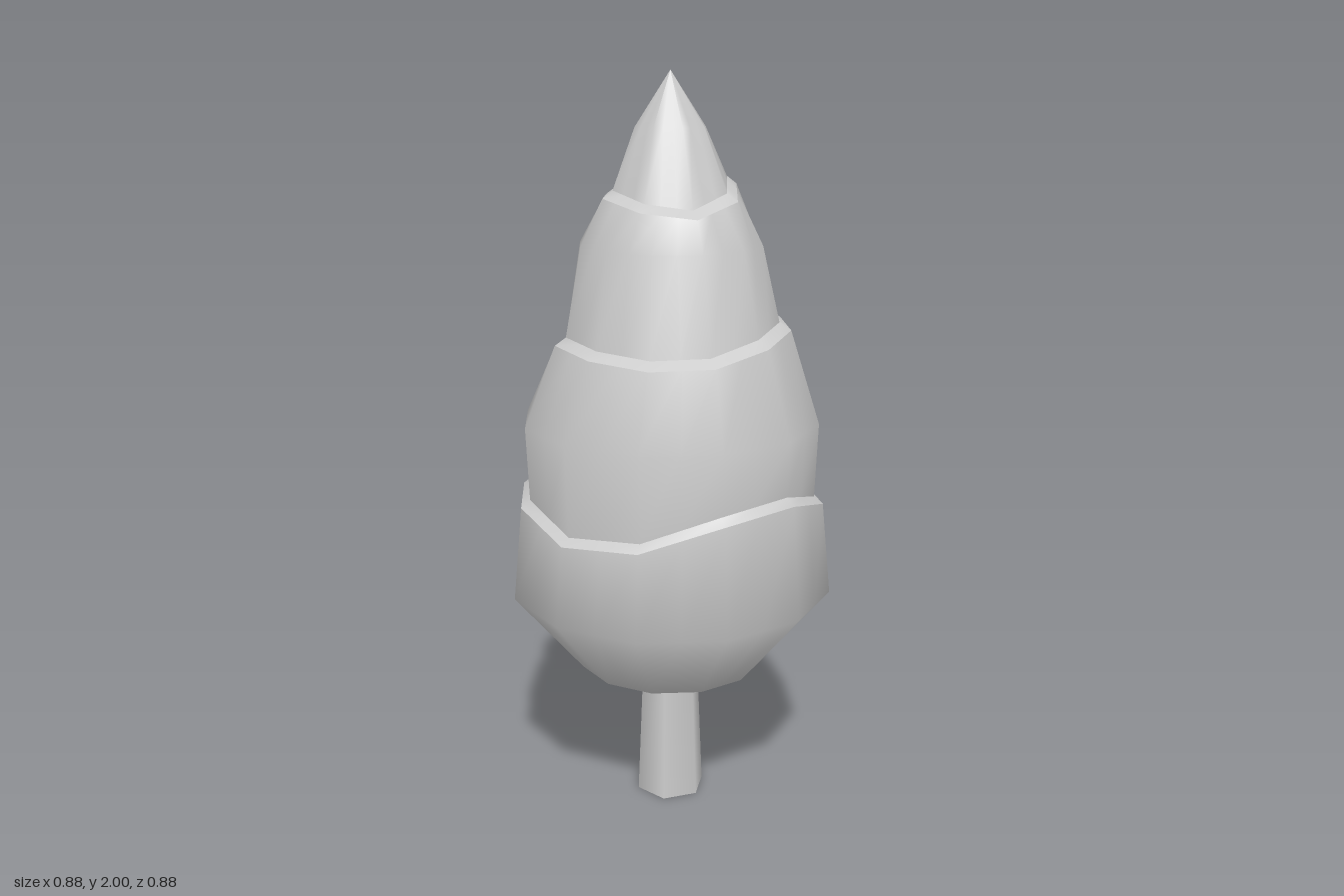
import * as THREE from 'three';

const material = new THREE.MeshStandardMaterial({ color: 0xcccccc });
const STEPS = 24; // divides evenly into 12- and 8-sided rings

// Polygonal ring: y is one height, or one per corner, starting at +z and turning toward +x.
function ring(sides, rx, rz, y) {
  const corner = (i) => {
    const k = i % sides, a = (k / sides) * Math.PI * 2;
    return new THREE.Vector3(Math.sin(a) * rx, Array.isArray(y) ? y[k] : y, Math.cos(a) * rz);
  };
  return Array.from({ length: STEPS }, (_, i) => {
    const t = (i * sides) / STEPS, k = Math.floor(t);
    return corner(k).lerp(corner(k + 1), t - k);
  });
}

// Smooth skin through rings listed from bottom to top.
function loft(name, rings) {
  const index = [];
  for (let r = 0; r < rings.length - 1; r++) {
    for (let i = 0; i < STEPS; i++) {
      const j = (i + 1) % STEPS;
      const a = r * STEPS + i, b = r * STEPS + j;
      index.push(a, b, b + STEPS, a, b + STEPS, a + STEPS);
    }
  }
  const geometry = new THREE.BufferGeometry().setFromPoints(rings.flat());
  geometry.setIndex(index);
  geometry.computeVertexNormals();
  const mesh = new THREE.Mesh(geometry, material);
  mesh.name = name;
  return mesh;
}

const raise = (heights, d) => heights.map((h) => h + d);

export function createModel() {
  const tree = new THREE.Group();
  tree.name = 'tree';

  // Six-sided tapering trunk
  const trunk = new THREE.Mesh(
    new THREE.CylinderGeometry(0.08, 0.097, 0.4, 6, 1, false, Math.PI / 6), material);
  trunk.name = 'trunk';
  trunk.position.y = 0.2;
  tree.add(trunk);

  // Wavy rim heights of the three lower tiers
  const low = [0.92, 0.935, 0.88, 0.855, 0.9, 0.9, 0.84, 0.84, 0.89, 0.885, 0.84, 0.855];
  const mid = [1.3, 1.33, 1.35, 1.355, 1.335, 1.295, 1.265, 1.26, 1.275, 1.315, 1.305, 1.295];
  const high = [1.645, 1.68, 1.715, 1.705, 1.67, 1.685, 1.685, 1.66];

  const lowOuter = ring(12, 0.417, 0.417, low);
  const lowInner = ring(12, 0.392, 0.395, raise(low, 0.02));
  const midOuter = ring(12, 0.315, 0.342, mid);
  const midInner = ring(12, 0.285, 0.306, raise(mid, 0.02));
  const highOuter = ring(8, 0.182, 0.208, high);
  const highInner = ring(8, 0.155, 0.172, raise(high, 0.02));

  // Foliage tiers, each closed by a narrow ledge
  tree.add(
    loft('bottomTier', [
      ring(12, 0, 0, 0.36), ring(12, 0.09, 0.09, 0.366), ring(12, 0.255, 0.255, 0.405),
      ring(12, 0.442, 0.442, 0.63), lowOuter]),
    loft('bottomLedge', [lowOuter, lowInner]),
    loft('middleTier', [lowInner, ring(12, 0.4, 0.4, 1.1), midOuter]),
    loft('middleLedge', [midOuter, midInner]),
    loft('upperTier', [midInner, ring(12, 0.242, 0.247, 1.565), highOuter]),
    loft('upperLedge', [highOuter, highInner]),
    loft('treeTip', [highInner, ring(8, 0.096, 0.096, 1.86), ring(8, 0, 0, 2)]),
  );
  return tree;
}
